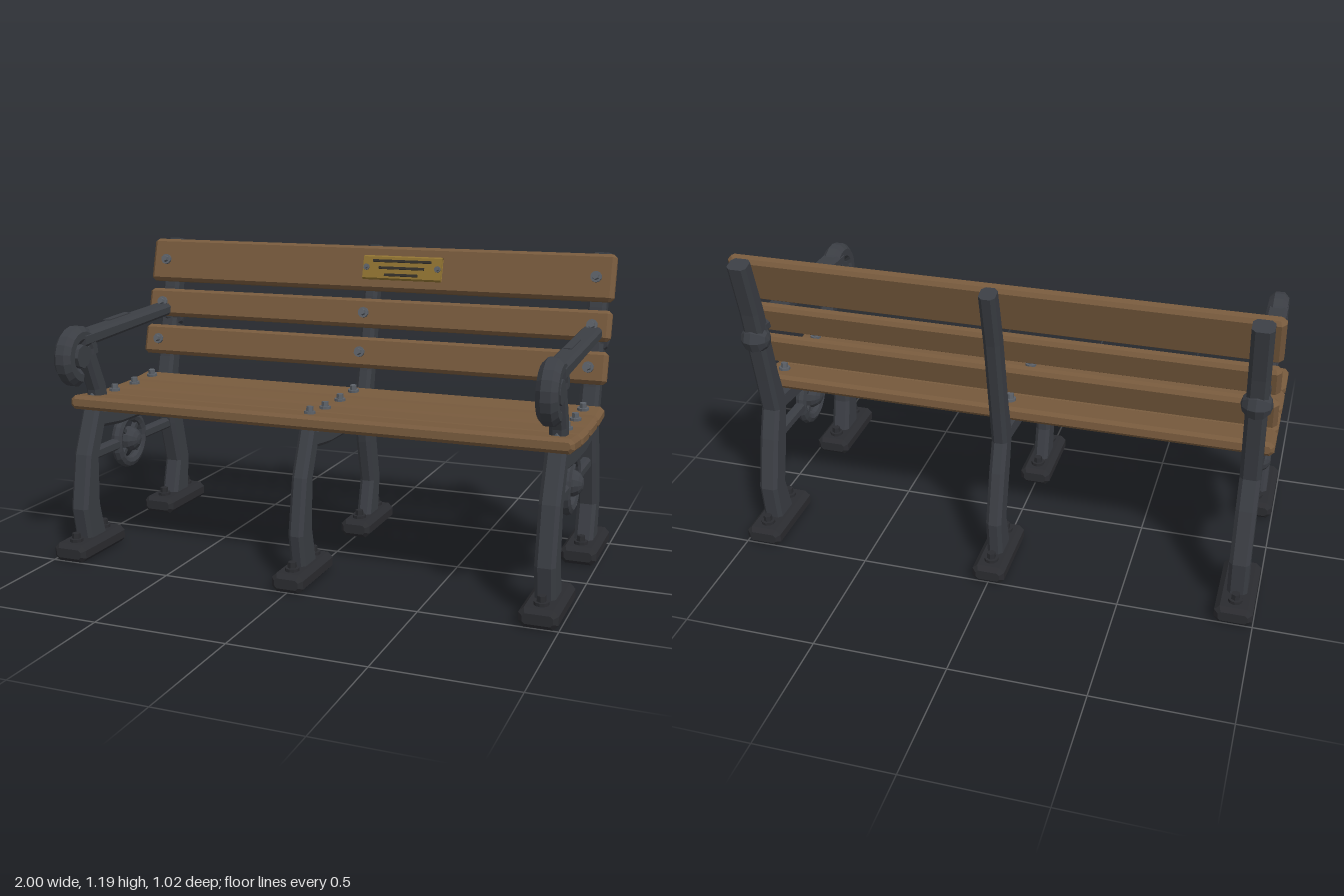
import * as THREE from 'three';

const mat = (color) => new THREE.MeshStandardMaterial({ color, flatShading: true });
const IRON = mat(0x3b3e44), FOOT = mat(0x2b2c30), WOOD = mat(0x775a3d);
const STEEL = mat(0x5c6168), BRASS = mat(0x8f7231), DARK = mat(0x33302a);

function add(parent, name, geometry, material, x = 0, y = 0, z = 0) {
  const m = new THREE.Mesh(geometry, material);
  m.name = name;
  m.position.set(x, y, z);
  parent.add(m);
  return m;
}

function group(parent, name, x = 0, y = 0, z = 0) {
  const g = new THREE.Group();
  g.name = name;
  g.position.set(x, y, z);
  parent.add(g);
  return g;
}

// Box with every edge chamfered by b
function chamferBox(w, h, d, b) {
  const X = w / 2 - b, Y = h / 2 - b, c = b * 0.6;
  const s = new THREE.Shape([
    [X - c, -Y], [X, -Y + c], [X, Y - c], [X - c, Y],
    [-X + c, Y], [-X, Y - c], [-X, -Y + c], [-X + c, -Y],
  ].map(([x, y]) => new THREE.Vector2(x, y)));
  const g = new THREE.ExtrudeGeometry(s, {
    depth: d - 2 * b, bevelEnabled: true, bevelSegments: 1, bevelSize: b, bevelThickness: b,
  });
  return g.translate(0, 0, -(d / 2 - b));
}

// Mitred beam with a chamfered section; path points are [z, y, half width], thickness runs along x
function beam(path, thickness, chamfer = 0.014) {
  const pos = [], idx = [], N = 8, hx = thickness / 2;
  const dir = (a, b) => new THREE.Vector2(b[0] - a[0], b[1] - a[1]).normalize();
  path.forEach((p, i) => {
    const d0 = dir(path[Math.max(i - 1, 0)], path[Math.max(i, 1)]);
    const last = path.length - 1;
    const d1 = dir(path[Math.min(i, last - 1)], path[Math.min(i + 1, last)]);
    const t = d0.clone().add(d1).normalize(), k = 1 / t.dot(d0), h = p[2], c = chamfer;
    const ring = [
      [hx, -h + c], [hx, h - c], [hx - c, h], [-hx + c, h],
      [-hx, h - c], [-hx, -h + c], [-hx + c, -h], [hx - c, -h],
    ];
    for (const [x, n] of ring) pos.push(x, p[1] + t.x * n * k, p[0] - t.y * n * k);
  });
  for (let i = 0; i < path.length - 1; i++) {
    for (let j = 0; j < N; j++) {
      const a = i * N + j, b = i * N + (j + 1) % N;
      idx.push(a, b, b + N, a, b + N, a + N);
    }
  }
  const e = (path.length - 1) * N;
  for (let j = 1; j < N - 1; j++) idx.push(0, j + 1, j, e, e + j, e + j + 1);
  const g = new THREE.BufferGeometry();
  g.setAttribute('position', new THREE.Float32BufferAttribute(pos, 3));
  g.setIndex(idx);
  const flat = g.toNonIndexed();
  flat.computeVertexNormals();
  return flat;
}

// Hex bolt on a washer, standing along y
function bolt(parent, x, y, z, r, h, material) {
  const g = group(parent, 'bolt', x, y, z);
  add(g, 'washer', new THREE.CylinderGeometry(r, r, h * 0.4, 10), material, 0, h * 0.2, 0);
  add(g, 'boltHead', new THREE.CylinderGeometry(r * 0.6, r * 0.65, h * 0.7, 6), material, 0, h * 0.65, 0);
}

// Feet, legs, seat rail and back upright
function ironFrame(parent, x, name, width, footWidth) {
  const g = group(parent, name, x);
  for (const s of [1, -1]) {
    add(g, 'foot', chamferBox(footWidth, 0.07, 0.32, 0.016), FOOT, 0, 0.035, s * 0.35);
    for (const z of [0.25, 0.45]) bolt(g, 0, 0.068, s * z, 0.027, 0.035, FOOT);
  }
  add(g, 'frontLeg', beam([[0.34, 0.05, 0.06], [0.373, 0.195, 0.055], [0.352, 0.395, 0.04], [0.28, 0.56, 0.04]], width), IRON);
  add(g, 'backLeg', beam([[-0.35, 0.05, 0.06], [-0.38, 0.21, 0.048], [-0.33, 0.4, 0.05], [-0.285, 0.56, 0.04]], width), IRON);
  add(g, 'seatRail', beam([[0.31, 0.535, 0.036], [0.13, 0.52, 0.04], [-0.08, 0.518, 0.04], [-0.31, 0.54, 0.038]], width * 0.95), IRON);
  add(g, 'backUpright', beam([[-0.295, 0.53, 0.045], [-0.33, 0.68, 0.038], [-0.39, 0.98, 0.036], [-0.445, 1.185, 0.033]], width), IRON);
  return g;
}

// Armrest with its scroll and support
function armrest(parent) {
  const g = group(parent, 'armrest');
  add(g, 'armBar', beam([[0.385, 0.861, 0.028], [-0.365, 0.9, 0.024]], 0.08, 0.012), IRON);
  add(g, 'armInlay', new THREE.BoxGeometry(0.03, 0.004, 0.16), IRON, 0, 0.914, 0.09).rotation.x = 0.05;
  add(g, 'armSupport', beam([[0.345, 0.835, 0.035], [0.265, 0.66, 0.037], [0.245, 0.56, 0.037]], 0.06), IRON);
  const arc = [];
  for (let i = 0; i <= 14; i++) {
    const a = Math.PI * (1 - i / 14 * 1.46);
    arc.push([0.394 + 0.083 * Math.cos(a), 0.8 + 0.083 * Math.sin(a), 0.034]);
  }
  add(g, 'scroll', beam(arc, 0.075, 0.02), IRON);
  add(g, 'scrollCentre', new THREE.CylinderGeometry(0.046, 0.046, 0.07, 8).rotateZ(Math.PI / 2), IRON, 0, 0.8, 0.394);
  add(g, 'rearKnob', new THREE.SphereGeometry(0.056, 8, 6).rotateZ(Math.PI / 2), IRON, 0, 0.857, -0.378);
}

// Side stretcher with a spoked ring
function medallion(parent) {
  const g = group(parent, 'medallion', 0, 0.39, 0.03);
  add(g, 'ring', new THREE.TorusGeometry(0.097, 0.023, 8, 20).rotateY(Math.PI / 2), IRON);
  add(g, 'hub', new THREE.SphereGeometry(0.053, 12, 8).rotateZ(Math.PI / 2), IRON);
  for (let i = 0; i < 2; i++) {
    add(g, 'spokePair', new THREE.BoxGeometry(0.02, 0.018, 0.18), IRON).rotation.x = Math.PI / 4 + i * Math.PI / 2;
  }
  add(g, 'frontStretcher', chamferBox(0.04, 0.045, 0.22, 0.008), IRON, 0, 0, 0.19);
  add(g, 'rearStretcher', chamferBox(0.04, 0.045, 0.25, 0.008), IRON, 0, 0, -0.21);
}

// Slat with its bolts; local y is the face that carries them
function slat(parent, name, y, z, depth, thick, tilt, boltXs) {
  const g = group(parent, name, 0, y, z);
  g.rotation.x = tilt;
  add(g, 'plank', chamferBox(1.995, thick, depth, 0.013), WOOD);
  for (const x of boltXs) bolt(g, x, thick / 2 - 0.002, 0, 0.022, 0.03, STEEL);
  return g;
}

export function createModel() {
  const bench = new THREE.Group();
  bench.name = 'bench';

  for (const s of [1, -1]) {
    const f = ironFrame(bench, s * 0.927, s > 0 ? 'leftFrame' : 'rightFrame', 0.075, 0.14);
    armrest(f);
    medallion(f);
  }
  ironFrame(bench, 0, 'centreFrame', 0.06, 0.125);

  // Seat
  const all = [-0.927, 0, 0.927];
  [[0.598, 0.28, -0.09], [0.586, 0.127, -0.02], [0.586, -0.03, 0.02], [0.594, -0.18, 0.1]]
    .forEach(([y, z, tilt]) => slat(bench, 'seatSlat', y, z, 0.137, 0.054, tilt, all));

  // Backrest
  const lean = Math.PI / 2 - 0.26;
  slat(bench, 'lowerBackSlat', 0.767, -0.267, 0.125, 0.046, lean, all);
  slat(bench, 'middleBackSlat', 0.922, -0.313, 0.118, 0.046, lean, all);
  const top = slat(bench, 'topBackSlat', 1.1, -0.36, 0.182, 0.05, lean, [-0.927, 0.927]);

  // Plaque with three raised bars and two screws
  const plaque = group(top, 'plaque', 0.152, 0.034, 0);
  add(plaque, 'plate', chamferBox(0.345, 0.018, 0.098, 0.006), BRASS);
  [[0.245, -0.026], [0.19, 0.002], [0.14, 0.03]].forEach(([w, z]) =>
    add(plaque, 'raisedBar', new THREE.BoxGeometry(w, 0.008, 0.01), DARK, 0, 0.014, z));
  for (const x of [-0.15, 0.15]) bolt(plaque, x, 0.008, 0, 0.013, 0.018, STEEL);

  return bench;
}
